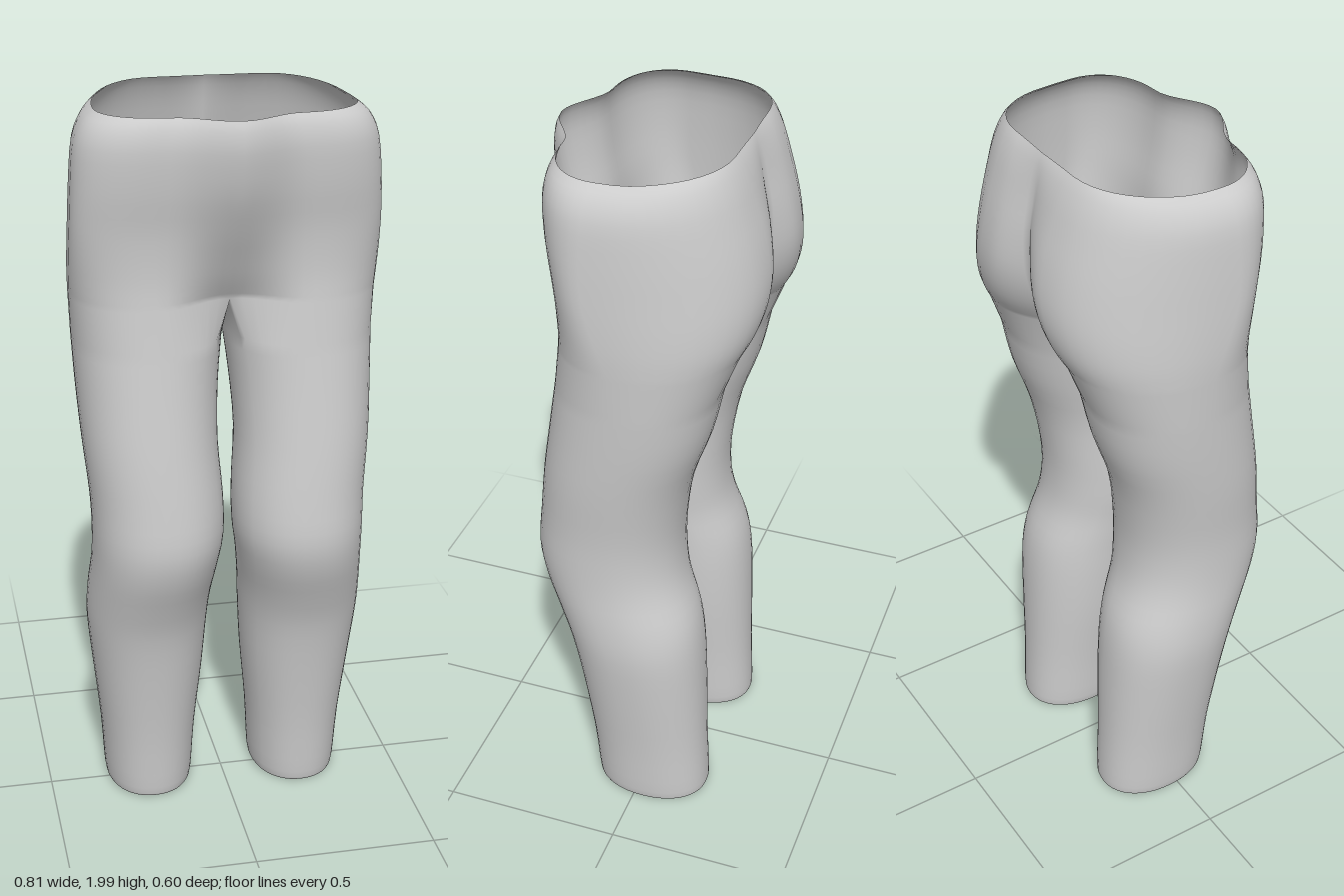
import * as THREE from 'three';
import { mergeVertices } from 'three/addons/utils/BufferGeometryUtils.js';

// Leg sections, bottom up: y, outer x, inner x, front z, back z
const LEG = [
  [0.014, 0.315, 0.11, 0.118, -0.165],
  [0.012, 0.328, 0.1, 0.13, -0.182],
  [0.04, 0.337, 0.09, 0.138, -0.187],
  [0.2, 0.347, 0.08, 0.152, -0.18],
  [0.4, 0.368, 0.06, 0.18, -0.175],
  [0.55, 0.382, 0.05, 0.208, -0.168],
  [0.65, 0.38, 0.043, 0.242, -0.152],
  [0.75, 0.372, 0.03, 0.281, -0.118],
  [0.84, 0.37, 0.017, 0.298, -0.104],
  [0.95, 0.373, 0.017, 0.288, -0.106],
  [1.1, 0.387, 0.027, 0.268, -0.13],
  [1.25, 0.396, 0.02, 0.245, -0.18],
  [1.38, 0.401, 0.005, 0.226, -0.208],
];
// Hip sections, bottom up: y, outer x, z at front centre, front side, back side,
// back centre, x of the back's fullest point, z of the widest point
const HIPS = [
  [1.49, 0.405, 0.13, 0.213, -0.25, -0.13, 0.19, 0.02],
  [1.55, 0.407, 0.165, 0.208, -0.28, -0.185, 0.165, 0.04],
  [1.62, 0.407, 0.2, 0.208, -0.298, -0.225, 0.14, 0.065],
  [1.7, 0.405, 0.238, 0.214, -0.3, -0.247, 0.12, 0.085],
  [1.8, 0.4, 0.278, 0.23, -0.283, -0.252, 0.112, 0.09],
  [1.9, 0.39, 0.299, 0.238, -0.252, -0.236, 0.115, 0.085],
  [1.955, 0.366, 0.297, 0.23, -0.226, -0.222, 0.12, 0.08],
  [1.982, 0.335, 0.287, 0.216, -0.207, -0.21, 0.13, 0.07],
];
const OUTER = 36;   // segments round the outside of each half
const INNER = 14;   // segments across the inner thigh
const REACH = 0.96; // how far the outside wraps toward the inner thigh, in radians
const STEPS = 3;    // subdivisions between listed sections

// Smooth sections in between the listed ones
function refine(rows) {
  const out = [];
  for (let i = 0; i < rows.length - 1; i++) {
    const p = [rows[Math.max(i - 1, 0)], rows[i], rows[i + 1], rows[Math.min(i + 2, rows.length - 1)]];
    for (let s = 0; s < STEPS; s++) {
      const t = s / STEPS;
      out.push(p[1].map((b, k) => {
        const a = p[0][k], c = p[2][k], d = p[3][k];
        return b + 0.5 * t * (c - a + t * (2 * a - 5 * b + 4 * c - d + t * (3 * (b - c) + d - a)));
      }));
    }
  }
  out.push(rows[rows.length - 1]);
  return out;
}

const full = (v) => Math.sign(v) * Math.pow(Math.abs(v), 0.92);

// Closed ring round a leg
function legRing([y, xo, xi, zf, zb]) {
  const ring = [];
  const point = (a) => ring.push([
    (xo + xi) / 2 + (xo - xi) / 2 * full(Math.sin(a)), y,
    (zf + zb) / 2 + (zf - zb) / 2 * full(Math.cos(a))]);
  for (let j = 0; j <= OUTER; j++) point(-REACH + (Math.PI + 2 * REACH) * j / OUTER);
  for (let j = 1; j < INNER; j++) point(Math.PI + REACH + (Math.PI - 2 * REACH) * j / INNER);
  return ring;
}

// Open arc from front centre round the hip to back centre
function hipArc([y, xo, zfc, zfs, zbs, zbc, backX, mid]) {
  const arc = [];
  const lift = THREE.MathUtils.smoothstep(y, 1.85, 1.98) * 0.018;
  for (let j = 0; j <= OUTER; j++) {
    const a = -REACH + (Math.PI + 2 * REACH) * j / OUTER;
    const front = a < Math.PI / 2;
    const cx = front ? xo * 0.49 : backX;
    const side = front ? zfs : zbs, centre = front ? zfc : zbc;
    const over = front ? -a : a - Math.PI; // positive on the way to the centre line
    let x, z;
    if (over > 0) {
      // The belly runs flat across the centre, the back meets in a cleft
      const t = over / REACH;
      x = cx * (1 - t);
      z = side + (centre - side) * (front ? (1 - Math.cos(Math.PI * t)) / 2 : t * t);
    } else {
      x = cx + (xo - cx) * full(Math.sin(a));
      z = mid + (side - mid) * full(Math.abs(Math.cos(a)));
    }
    if (j === 0 || j === OUTER) x = 0;
    arc.push([x, y + lift * (z < 0 ? Math.min(1, -z / 0.2) : 0), z]);
  }
  return arc;
}

// One half of the trousers as rows of points, mirrored into the other half
function trousersGeometry() {
  const legs = refine(LEG).map(legRing);
  const hips = refine(HIPS).map(hipArc);

  // Crotch seam: closes the lowest hip arc along the centre line
  const seam = hips[0], zFront = seam[0][2], zBack = seam[OUTER][2];
  for (let j = 1; j < INNER; j++) {
    const t = j / INNER;
    seam.push([0, HIPS[0][0] - 0.07 * Math.sin(Math.PI * t), zBack + (zFront - zBack) * t]);
  }

  const rows = [...legs, ...hips];
  const starts = [];
  const half = [];
  rows.forEach((row) => { starts.push(half.length); half.push(...row); });
  const count = half.length;
  const index = [];
  const tri = (a, b, c) => index.push(a, b, c, a + count, c + count, b + count);
  for (let r = 0; r < rows.length - 1; r++) {
    const closed = r < legs.length;
    const n = OUTER + INNER;
    for (let j = 0; j < (closed ? n : OUTER); j++) {
      const k = closed ? (j + 1) % n : j + 1;
      const lo = starts[r], hi = starts[r + 1];
      tri(lo + j, lo + k, hi + k);
      tri(lo + j, hi + k, hi + j);
    }
  }
  const positions = [...half, ...half.map(([x, y, z]) => [-x, y, z])].flat();
  const geometry = new THREE.BufferGeometry();
  geometry.setAttribute('position', new THREE.Float32BufferAttribute(positions, 3));
  geometry.setIndex(index);
  const welded = mergeVertices(geometry, 1e-5);
  welded.computeVertexNormals();
  return welded;
}

export function createModel() {
  const cloth = new THREE.MeshStandardMaterial({ color: 0xcccccc, side: THREE.DoubleSide });
  cloth.name = 'light grey cloth';
  const group = new THREE.Group();
  group.name = 'trousers';
  const shell = new THREE.Mesh(trousersGeometry(), cloth);
  shell.name = 'trouserShell';
  group.add(shell);
  return group;
}
